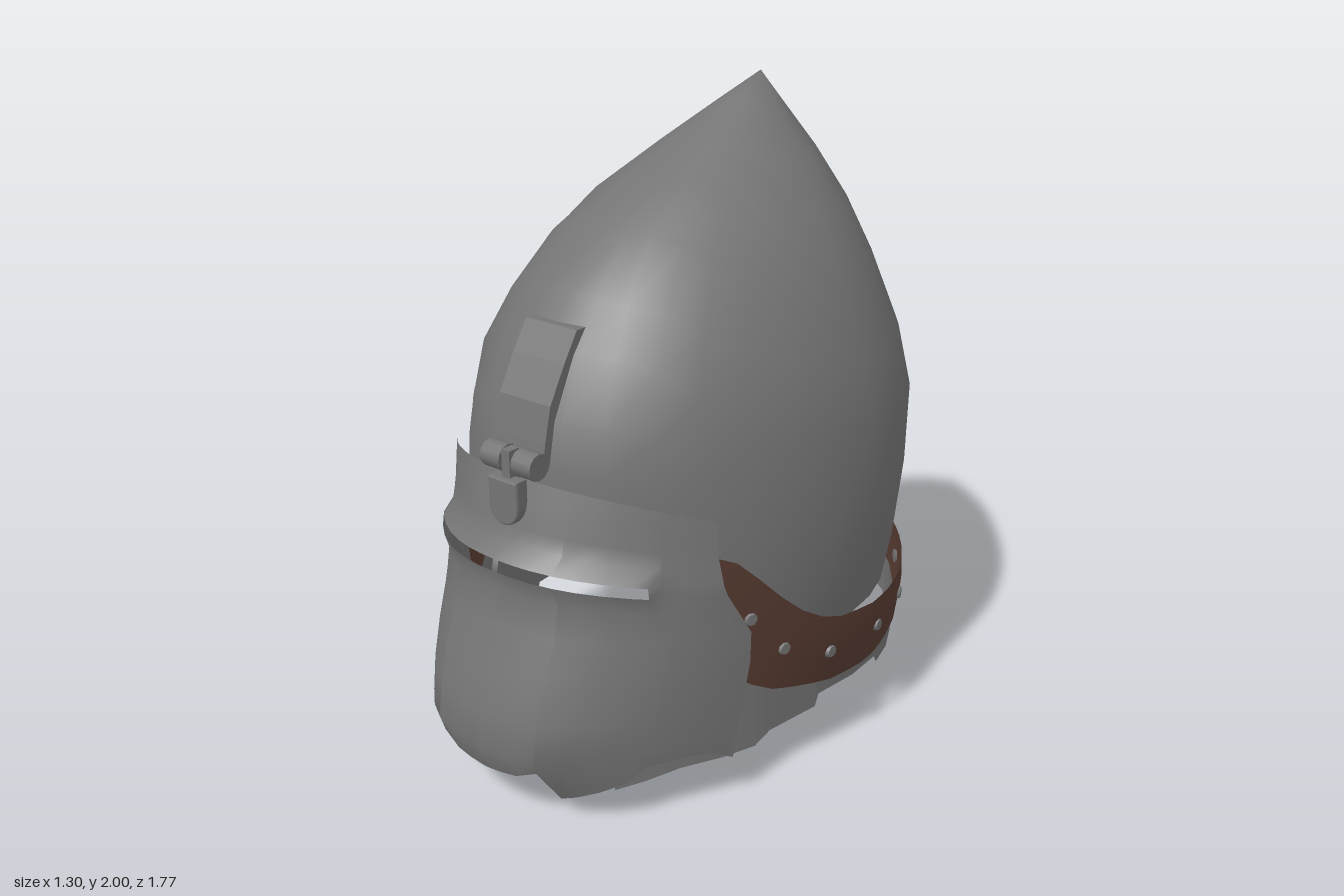
import * as THREE from 'three';
import { mergeVertices } from 'three/addons/utils/BufferGeometryUtils.js';

const steel = new THREE.MeshStandardMaterial({ color: 0x747474, side: THREE.DoubleSide });
steel.name = 'steel';
const leather = new THREE.MeshStandardMaterial({ color: 0x583c32, side: THREE.DoubleSide });
leather.name = 'brown leather';

// Linear lookup in a table of [key, value, value...] rows with rising keys
function lookup(table, k) {
  if (k <= table[0][0]) return table[0].slice(1);
  for (let i = 1; i < table.length; i++) {
    const a = table[i - 1], b = table[i];
    if (k <= b[0]) {
      const f = (k - a[0]) / (b[0] - a[0]);
      return a.slice(1).map((v, j) => v + (b[j + 1] - v) * f);
    }
  }
  return table[table.length - 1].slice(1);
}

// Smooth surface over a grid of parameters; skip(i, j) leaves a hole
function surface(us, vs, fn, skip = () => false) {
  const pos = [], idx = [], n = vs.length;
  us.forEach(u => vs.forEach(v => pos.push(...fn(u, v))));
  for (let i = 0; i < us.length - 1; i++) {
    for (let j = 0; j < n - 1; j++) {
      if (skip(i, j)) continue;
      const a = i * n + j, b = a + n;
      idx.push(a, b, b + 1, a, b + 1, a + 1);
    }
  }
  let g = new THREE.BufferGeometry();
  g.setAttribute('position', new THREE.Float32BufferAttribute(pos, 3));
  g.setIndex(idx);
  g = mergeVertices(g, 1e-4);
  g.computeVertexNormals();
  return g;
}

const range = (a, b, n) => Array.from({ length: n + 1 }, (_, i) => a + (b - a) * i / n);
const fold = deg => Math.min(deg, 360 - deg); // mirror angles; 0 is the front
const RAD = Math.PI / 180;

// Skull: height, back z, front z, half width
const SKULL = [
  [0.4, -0.79, 0.66, 0.6], [0.6, -0.82, 0.67, 0.63], [0.8, -0.855, 0.67, 0.64],
  [1.05, -0.88, 0.66, 0.63], [1.25, -0.835, 0.62, 0.585], [1.46, -0.755, 0.48, 0.49],
  [1.63, -0.68, 0.3, 0.385], [1.78, -0.6, 0, 0.24], [1.91, -0.515, -0.27, 0.1], [2, -0.46, -0.46, 0],
];
const SKULL_EDGE = [[0, 0.95], [30, 0.93], [45, 0.78], [58, 0.6], [75, 0.47], [90, 0.44], [180, 0.44]];
function skullPoint(deg, s) {
  const [yb] = lookup(SKULL_EDGE, fold(deg));
  const y = yb + (2 - yb) * s;
  const [back, front, half] = lookup(SKULL, y);
  const zc = back + (front - back) * 0.445, c = Math.cos(deg * RAD);
  return [half * Math.sin(deg * RAD), y, zc + c * (c > 0 ? front - zc : zc - back)];
}

// Leather band: angle, bottom height, top height
const BAND = [[50, 0.5, 0.82], [56, 0.41, 0.78], [64, 0.33, 0.65], [72, 0.285, 0.54], [79, 0.255, 0.49],
  [90, 0.25, 0.465], [115, 0.25, 0.47], [130, 0.27, 0.49], [150, 0.28, 0.51], [180, 0.29, 0.49]];
function bandPoint(deg, s) {
  const [bottom, top] = lookup(BAND, fold(deg));
  const c = Math.cos(deg * RAD);
  const ragged = (1 - s) * 0.007 * Math.sin(deg * 2.7);
  return [(0.62 + 0.028 * Math.min(1, s * 1.5)) * Math.sin(deg * RAD), bottom + (top - bottom) * s + ragged,
    -0.2 + c * (c > 0 ? 0.97 : 0.69 - 0.04 * s)];
}

// Torn neck skirt: angle, bottom height
const SKIRT = [[22, 0], [39, 0.08], [58, 0.11], [62, 0.15], [75, 0.17], [76, 0.21], [100, 0.2],
  [102, 0.17], [135, 0.15], [141, 0.2], [180, 0.22]];
function skirtPoint(deg, s) {
  const d = fold(deg), c = Math.cos(deg * RAD);
  const [bottom] = lookup(SKIRT, d), [top] = lookup([[22, 0.42], [50, 0.52], [75, 0.34], [180, 0.34]], d);
  return [0.605 * Math.sin(deg * RAD), bottom + (top - bottom) * s, -0.2 + c * (c > 0 ? 0.8 + 0.08 * s : 0.68)];
}

// Visor: height, middle z, edge z, half width, curve power
const VISOR = [
  [0.05, 0.75, 0.37, 0.53, 2.6], [0.15, 0.85, 0.36, 0.53, 2.6], [0.25, 0.885, 0.35, 0.54, 2.6],
  [0.33, 0.875, 0.34, 0.545, 2.6], [0.45, 0.845, 0.325, 0.56, 2.5], [0.6, 0.79, 0.33, 0.565, 2.4],
  [0.78, 0.745, 0.41, 0.53, 2.2], [0.9, 0.72, 0.42, 0.512, 2], [1.02, 0.68, 0.42, 0.51, 2],
];
const VISOR_HEM = [[0, 0.155], [0.22, 0.17], [0.345, 0.2], [0.35, 0.06], [0.7, 0.15], [0.76, 0.2], [0.92, 0.2], [1, 0.15]];
const VISOR_ROWS = [0, 0.25, 0.36, 0.48, 0.6, 0.7, 0.763, 0.797, 0.84, 0.89, 0.96, 1.02];
function visorPoint(u, level) {
  const t = Math.abs(u);
  const y = level || lookup(VISOR_HEM, t)[0];
  const [zc, ze, half, power] = lookup(VISOR, y);
  const [arch] = lookup([[0.4, 0], [0.78, 0.06], [1.02, 0.09]], y);
  const lip = (y > 0.75 && y < 0.81 && t < 0.78) ? 0.033 : 0; // raised rim round the sights
  return [half * u, y - arch * t * t, zc - (zc - ze) * t ** power + lip];
}

export function createModel() {
  const model = new THREE.Group();
  const add = (name, geometry, material = steel, parent = model) => {
    const mesh = new THREE.Mesh(geometry, material);
    mesh.name = name;
    parent.add(mesh);
    return mesh;
  };

  // Pointed skull with a face opening
  const skullRows = [0, ...SKULL.slice(1).map(r => (r[0] - 0.44) / 1.56)];
  add('skull', surface(range(0, 360, 32), skullRows, skullPoint));

  // Band and skirt run round the back
  add('leatherBand', surface(range(50, 310, 52), [0, 0.33, 0.67, 1], bandPoint), leather);
  const half = [22, 30, 39, 50, 58, 62, 75, 76, 88, 100, 102, 112, 123, 135, 141, 155, 168];
  const skirtAngles = [...half, 180, ...half.map(d => 360 - d).reverse()];
  add('neckSkirt', surface(skirtAngles, [0, 0.5, 1], skirtPoint));

  // Rivets: z position and height on each side, then the back
  const rivets = new THREE.Group();
  rivets.name = 'rivets';
  model.add(rivets);
  const spots = [[0.31, 0.595], [0.19, 0.46], [0, 0.38], [-0.25, 0.365], [-0.46, 0.375], [-0.66, 0.385]]
    .map(([z, y]) => [Math.acos((z + 0.2) / (z > -0.2 ? 0.97 : 0.67)) / RAD, y]);
  spots.push([156, 0.39]);
  const rivet = new THREE.CylinderGeometry(0.018, 0.024, 0.016, 8);
  const placeRivet = (deg, y) => {
    const [bottom, top] = lookup(BAND, fold(deg));
    const mesh = add('rivet', rivet, steel, rivets);
    mesh.position.set(...bandPoint(deg, (y - bottom) / (top - bottom)));
    const depth = Math.cos(deg * RAD) > 0 ? 0.97 : 0.67;
    const out = new THREE.Vector3(Math.sin(deg * RAD) / 0.64, 0, Math.cos(deg * RAD) / depth).normalize();
    mesh.quaternion.setFromUnitVectors(new THREE.Vector3(0, 1, 0), out);
  };
  spots.forEach(([deg, y]) => { placeRivet(deg, y); placeRivet(360 - deg, y); });
  placeRivet(180, 0.39);

  // Visor with two sight slits and a torn hem
  const right = [0.02, 0.12, 0.22, 0.345, 0.35, 0.46, 0.58, 0.7, 0.76, 0.79, 0.86, 0.93, 1];
  const visorCols = [...right.map(t => -t).reverse(), ...right];
  add('visor', surface(visorCols, VISOR_ROWS, visorPoint, (i, j) => {
    const mid = Math.abs(visorCols[i] + visorCols[i + 1]) / 2;
    return VISOR_ROWS[j] === 0.763 && mid > 0.015 && mid < 0.75;
  }));

  // Hinge plate following the brow, drawn in side profile
  const hinge = new THREE.Group();
  hinge.name = 'visorHinge';
  model.add(hinge);
  const line = [[0.52, 1.425], [0.575, 1.34], [0.635, 1.235], [0.66, 1.13], [0.672, 1.06]];
  const side = new THREE.Shape([
    ...line.map(([z, y]) => new THREE.Vector2(-z, y)),
    ...line.map(([z, y]) => new THREE.Vector2(-z + 0.04, y)).reverse(),
  ]);
  const plate = new THREE.ExtrudeGeometry(side, { depth: 0.19, bevelEnabled: false });
  plate.rotateY(Math.PI / 2).translate(-0.095, 0, 0);
  add('hingePlate', plate, steel, hinge);

  // Knuckles, pin and rounded tongue
  for (const sx of [-1, 1]) {
    const knuckle = add('hingeKnuckle', new THREE.CylinderGeometry(0.04, 0.04, 0.072, 12), steel, hinge);
    knuckle.rotation.z = Math.PI / 2;
    knuckle.position.set(sx * 0.059, 1.072, 0.685);
  }
  add('hingePin', new THREE.BoxGeometry(0.03, 0.1, 0.04), steel, hinge).position.set(0, 1.06, 0.7);
  const tongue = new THREE.Shape();
  tongue.moveTo(0.055, 1.03);
  tongue.lineTo(-0.055, 1.03);
  tongue.lineTo(-0.055, 0.945);
  tongue.absarc(0, 0.945, 0.055, Math.PI, Math.PI * 2, false);
  tongue.closePath();
  const tongueGeometry = new THREE.ExtrudeGeometry(tongue, {
    depth: 0.03, bevelSize: 0.006, bevelThickness: 0.008, bevelSegments: 2, bevelOffset: -0.006, curveSegments: 10,
  });
  add('hingeTongue', tongueGeometry, steel, hinge).position.z = 0.7;

  return model;
}
